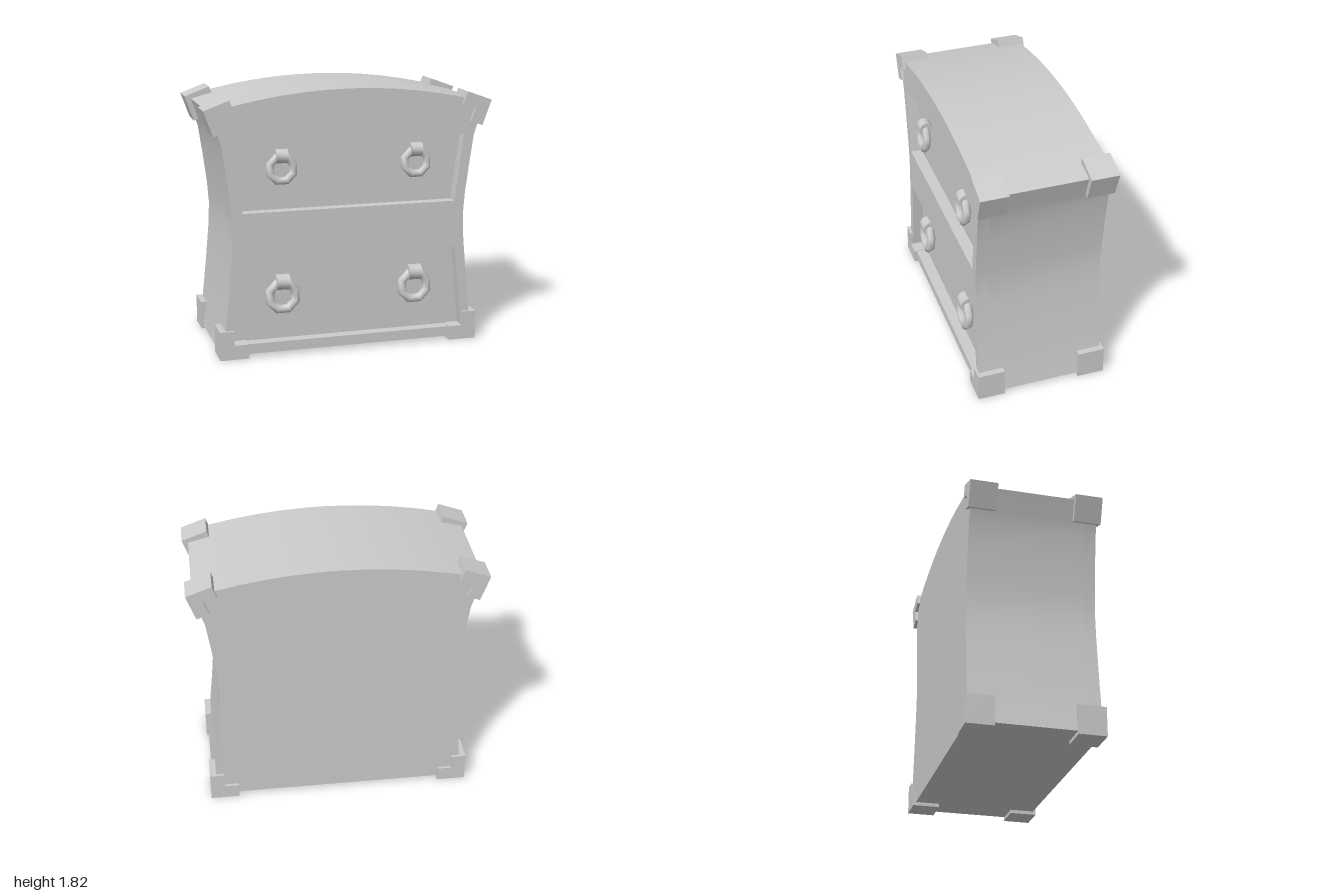
import * as THREE from 'three';
import { toCreasedNormals } from 'three/addons/utils/BufferGeometryUtils.js';

const material = new THREE.MeshStandardMaterial({ color: 0xcccccc });
const HALF_DEPTH = 0.44;
const RECESS_Z = 0.36; // plane of the drawer fronts

function add(parent, name, geometry) {
  const mesh = new THREE.Mesh(geometry, material);
  mesh.name = name;
  parent.add(mesh);
  return mesh;
}

// Extrude a shape between two z planes, smooth on shallow bends
function slab(shape, z0, z1) {
  const g = new THREE.ExtrudeGeometry(shape, { depth: z1 - z0, bevelEnabled: false });
  g.translate(0, 0, z0);
  return toCreasedNormals(g, Math.PI / 7);
}

// Points of a shallow arch running from +halfWidth to -halfWidth
function arch(halfWidth, peak, drop, n) {
  const pts = [];
  for (let i = 0; i <= n; i++) {
    const t = 1 - (2 * i) / n;
    pts.push(new THREE.Vector2(halfWidth * t, peak - drop * t * t));
  }
  return pts;
}

// Waisted outline with an arched top
function cabinetShape() {
  const side = [[0.905, 0.025], [0.877, 0.2], [0.848, 0.46], [0.823, 0.73],
    [0.815, 0.9], [0.826, 1.05], [0.853, 1.26], [0.883, 1.465], [0.91, 1.55]];
  return new THREE.Shape([
    ...side.map(([x, y]) => new THREE.Vector2(x, y)),
    ...arch(0.957, 1.815, 0.127, 12),
    ...side.reverse().map(([x, y]) => new THREE.Vector2(-x, y)),
  ]);
}

// L-shaped corner guard; its outer corner sits at (x, y)
function cornerShape(mirror, x, y, vertical, size, thick, tilt) {
  const pts = [[0, 0], [size, 0], [size, thick], [thick, thick], [thick, size], [0, size]];
  const c = Math.cos(tilt), s = Math.sin(tilt);
  return new THREE.Shape(pts.map(([u, v]) => {
    const px = -u, py = v * vertical;
    return new THREE.Vector2(mirror * (x + px * c + py * s), y - px * s + py * c);
  }));
}

// Ring pull hanging from a round clasp
function ringPull(x, y, radius) {
  const pull = new THREE.Group();
  pull.name = 'ringPull';
  const tube = radius * 0.25;
  const ringGeometry = new THREE.TorusGeometry(radius - tube, tube, 8, 8);
  ringGeometry.rotateZ(Math.PI / 8);
  const ring = add(pull, 'ring', ringGeometry);
  ring.rotation.x = -0.1;
  ring.position.z = 0.412;
  const claspRadius = radius * 0.43;
  const clasp = add(pull, 'clasp',
    toCreasedNormals(new THREE.CylinderGeometry(claspRadius, claspRadius, radius * 0.73, 12), Math.PI / 4));
  clasp.rotation.z = Math.PI / 2;
  clasp.position.set(0, radius * 0.75, 0.402);
  pull.position.set(x, y, 0);
  return pull;
}

export function createModel() {
  const model = new THREE.Group();
  model.name = 'chestOfDrawers';

  // Solid carcass, whose front face forms the drawer fronts
  add(model, 'carcass', slab(cabinetShape(), -HALF_DEPTH, RECESS_Z));

  // Front frame with two drawer openings
  const frame = cabinetShape();
  frame.holes.push(
    new THREE.Path([new THREE.Vector2(-0.75, 1.005), new THREE.Vector2(0.75, 1.005),
      ...arch(0.81, 1.615, 0.15, 10)]),
    new THREE.Path([[-0.82, 0.095], [0.82, 0.095], [0.76, 0.68], [-0.76, 0.68]]
      .map(([x, y]) => new THREE.Vector2(x, y))),
  );
  add(model, 'frontFrame', slab(frame, RECESS_Z, HALF_DEPTH));

  // Feet, top corner guards and ring pulls, mirrored left and right
  for (const side of [1, -1]) {
    for (const [z0, z1] of [[0.27, 0.46], [-0.46, -0.27]]) {
      add(model, 'foot', slab(cornerShape(side, 0.92, 0, 1, 0.2, 0.1, 0), z0, z1));
      add(model, 'topCorner',
        slab(cornerShape(side, 1, 1.704, -1, 0.185, 0.09, THREE.MathUtils.degToRad(20)), z0, z1));
    }
    model.add(ringPull(side * 0.472, 1.29, 0.113));
    model.add(ringPull(side * 0.472, 0.41, 0.128));
  }
  return model;
}
